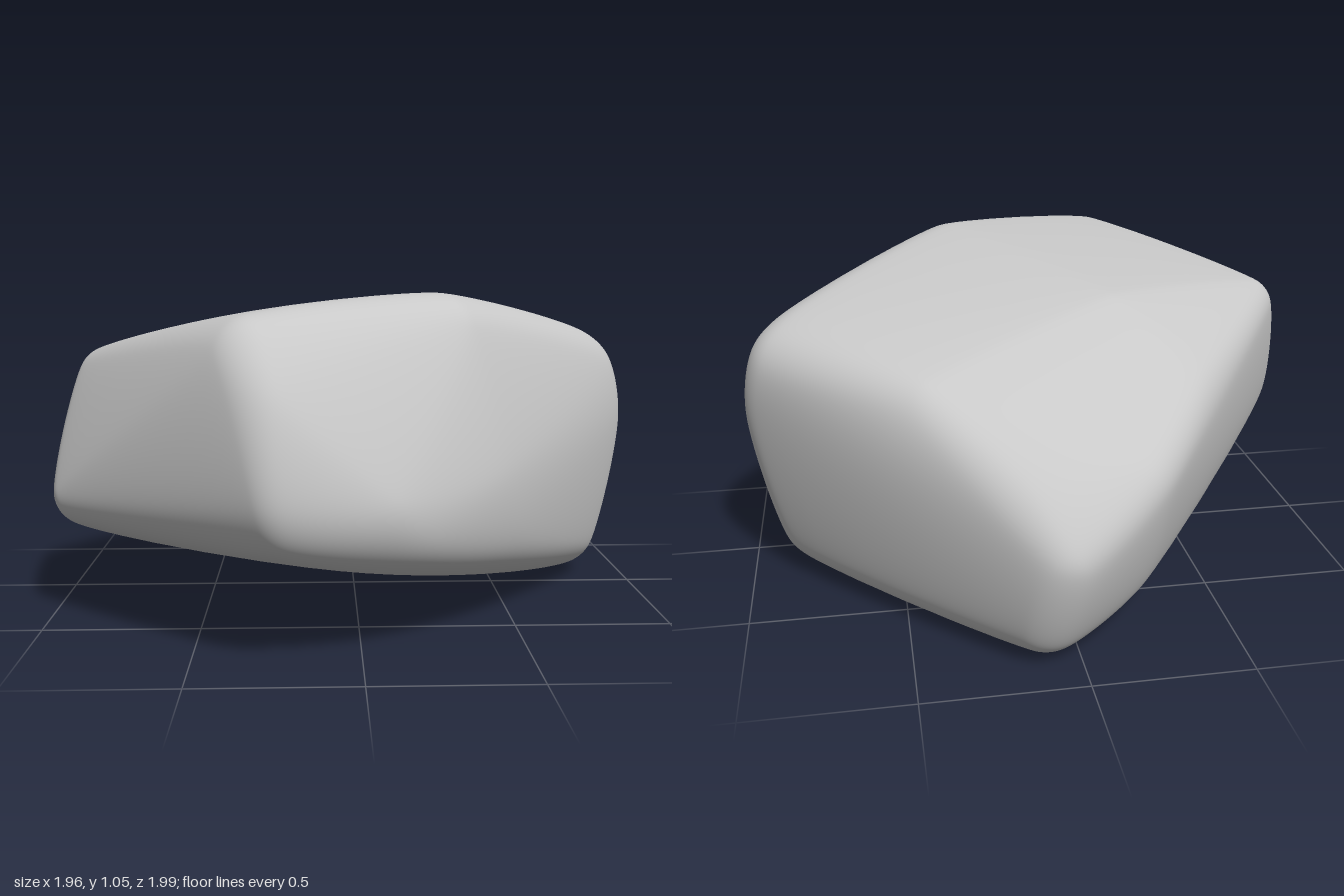
import * as THREE from 'three';
import { mergeVertices } from 'three/addons/utils/BufferGeometryUtils.js';

// Rounded corners of the stone: x, y, z, radius
const UPPER = [
  // top rim and crown
  [-0.31, 0.83, 0.71, 0.16], [0.24, 0.87, 0.43, 0.17], [0.8, 0.72, -0.17, 0.16],
  [0.7, 0.78, -0.05, 0.14], [0.41, 0.68, -0.54, 0.14], [-0.4, 0.65, -0.4, 0.13],
  [-0.81, 0.75, 0.17, 0.11], [-0.2, 0.81, -0.2, 0.13],
  // widest part
  [0.87, 0.55, -0.15, 0.11], [0.33, 0.5, 0.48, 0.17], [0.02, 0.46, 0.77, 0.15],
  [-0.24, 0.5, 0.88, 0.11], [-0.26, 0.71, 0.83, 0.12], [-0.87, 0.4, 0.33, 0.11],
  [-0.17, 0.5, -0.72, 0.13], [0.15, 0.5, -0.77, 0.13], [0.06, 0.36, -0.87, 0.13],
];
const UNDERSIDE = [
  [-0.21, 0.42, 0.86, 0.11], [0, 0.41, 0.77, 0.14], [0.15, 0.37, 0.68, 0.14],
  [0.4, 0.3, 0.4, 0.15], [0.76, 0.16, -0.13, 0.14], [0.6, 0.15, -0.25, 0.15],
  [0.1, 0.14, -0.79, 0.14], [-0.13, 0.21, -0.62, 0.15], [-0.33, 0.28, -0.3, 0.14],
  [-0.66, 0.32, 0.1, 0.13],
];
const CORNERS = [...UPPER, ...UNDERSIDE]
  .map(([x, y, z, r]) => ({ c: new THREE.Vector3(x, y, z), r }));

const SHARPNESS = 65;

// Outermost point of the softly blended hull of all corners, facing direction u
function hullPoint(u) {
  const reach = CORNERS.map(({ c, r }) => c.dot(u) + r);
  const most = Math.max(...reach);
  const weights = reach.map((d) => Math.exp(SHARPNESS * (d - most)));
  const sum = weights.reduce((a, b) => a + b, 0);
  const p = new THREE.Vector3();
  CORNERS.forEach(({ c }, i) => p.addScaledVector(c, weights[i] / sum));
  const support = most + Math.log(sum) / SHARPNESS;
  return p.addScaledVector(u, support - p.dot(u));
}

function stoneGeometry() {
  const ball = new THREE.IcosahedronGeometry(1, 50);
  ball.deleteAttribute('uv');
  ball.deleteAttribute('normal');
  const geometry = mergeVertices(ball, 1e-5);
  const pos = geometry.attributes.position;
  const normals = new Float32Array(pos.count * 3);
  const u = new THREE.Vector3();
  for (let i = 0; i < pos.count; i++) {
    u.fromBufferAttribute(pos, i).normalize();
    u.toArray(normals, i * 3);
    const p = hullPoint(u);
    pos.setXYZ(i, p.x, p.y, p.z);
  }
  geometry.setAttribute('normal', new THREE.BufferAttribute(normals, 3));

  // Centre and rest on the ground
  geometry.computeBoundingBox();
  const box = geometry.boundingBox;
  const mid = box.getCenter(new THREE.Vector3());
  geometry.translate(-mid.x, -box.min.y, -mid.z);
  return geometry;
}

export function createModel() {
  const stoneGrey = new THREE.MeshStandardMaterial({ color: 0xc8c8c8 });
  stoneGrey.name = 'stoneGrey';
  const stone = new THREE.Mesh(stoneGeometry(), stoneGrey);
  stone.name = 'stone';
  const group = new THREE.Group();
  group.name = 'boulder';
  group.add(stone);
  return group;
}
